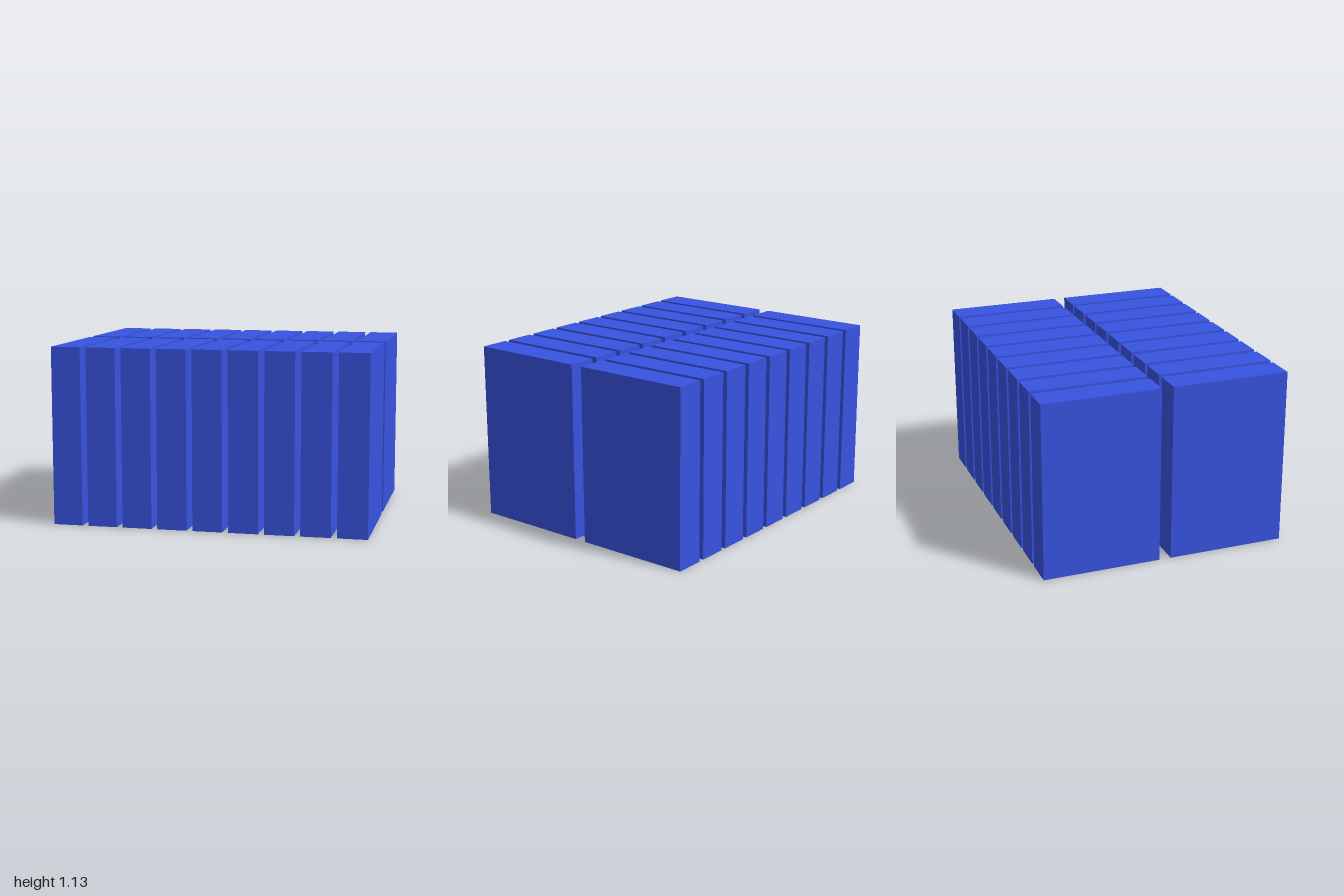
import * as THREE from 'three';

// Two rows of nine upright slabs, laid out on a grid of 53 units per 2
export function createModel() {
  const group = new THREE.Group();
  const unit = 2 / 53;
  const width = 5 * unit, height = 30 * unit, depth = 20 * unit;
  const pitchX = 6 * unit, pitchZ = 22 * unit;

  const material = new THREE.MeshStandardMaterial({ color: 0x3853e0 });
  const geometry = new THREE.BoxGeometry(width, height, depth);

  for (const [rowName, side] of [['frontRow', 1], ['backRow', -1]]) {
    const row = new THREE.Group();
    row.name = rowName;
    row.position.z = side * pitchZ / 2;
    for (let i = 0; i < 9; i++) {
      const slab = new THREE.Mesh(geometry, material);
      slab.name = `slab${i + 1}`;
      slab.position.set((i - 4) * pitchX, height / 2, 0);
      row.add(slab);
    }
    group.add(row);
  }
  return group;
}
